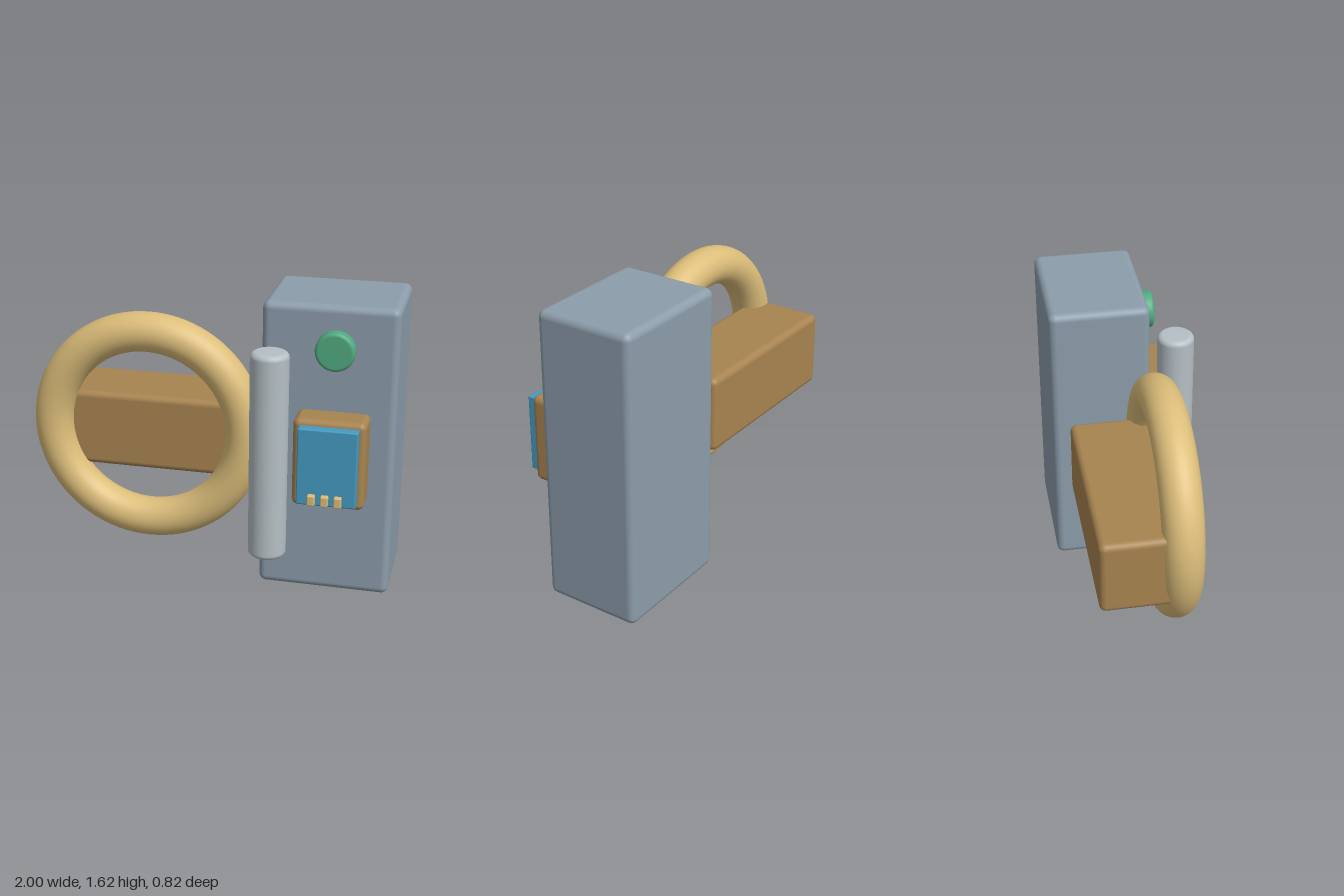
import * as THREE from 'three';
import { RoundedBoxGeometry } from 'three/addons/geometries/RoundedBoxGeometry.js';

function material(name, color) {
  const m = new THREE.MeshStandardMaterial({ color });
  m.name = name;
  return m;
}

export function createModel() {
  const slate = material('slate grey', 0x8c9dab);
  const silver = material('silver', 0xb5bfc4);
  const sand = material('sand', 0xdcbd7a);
  const brown = material('brown', 0xa88450);
  const blue = material('blue', 0x459bc2);
  const green = material('green', 0x50aa80);

  const group = new THREE.Group();

  function add(name, geometry, mat, x, y, z) {
    const mesh = new THREE.Mesh(geometry, mat);
    mesh.name = name;
    mesh.position.set(x, y, z);
    group.add(mesh);
    return mesh;
  }

  // Rounded box given by its lower and upper corners
  function box(name, mat, [x0, y0, z0], [x1, y1, z1], radius) {
    const geometry = new RoundedBoxGeometry(x1 - x0, y1 - y0, z1 - z0, 4, radius);
    return add(name, geometry, mat, (x0 + x1) / 2, (y0 + y1) / 2, (z0 + z1) / 2);
  }

  // Upright cylinder with rounded rims, centred on its origin
  function roundedCylinder(radius, height, rim) {
    const points = [new THREE.Vector2(0, -height / 2)];
    for (const end of [-1, 1]) {
      for (let i = 0; i <= 6; i++) {
        const a = (end < 0 ? i - 6 : i) / 6 * Math.PI / 2;
        points.push(new THREE.Vector2(
          radius - rim + rim * Math.cos(a),
          end * (height / 2 - rim) + rim * Math.sin(a)));
      }
    }
    points.push(new THREE.Vector2(0, height / 2));
    return new THREE.LatheGeometry(points, 48);
  }

  // Tall cabinet
  box('cabinet', slate, [0.28, 0, -0.41], [1, 1.625, 0.14], 0.04);

  // Ring with the block set into its back
  add('ring', new THREE.TorusGeometry(0.542, 0.108, 32, 96), sand, -0.35, 0.86, 0.1);
  box('ringBlock', brown, [-0.93, 0.6, -0.33], [0.15, 1.03, 0.1], 0.035);

  // Upright rod beside the cabinet
  add('rod', roundedCylinder(0.102, 1.15, 0.03), silver, 0.357, 0.835, 0.295);

  // Control housing, screen and keys
  box('controlHousing', brown, [0.485, 0.57, 0.13], [0.87, 1.06, 0.315], 0.035);
  box('screen', blue, [0.52, 0.605, 0.3], [0.835, 1.03, 0.366], 0.008);
  for (const x of [0.605, 0.675, 0.745]) {
    box('key', sand, [x - 0.02, 0.62, 0.375], [x + 0.02, 0.677, 0.41], 0.007);
  }

  // Round button
  const button = add('roundButton', roundedCylinder(0.105, 0.075, 0.02), green, 0.677, 1.4, 0.182);
  button.rotation.x = Math.PI / 2;

  return group;
}
